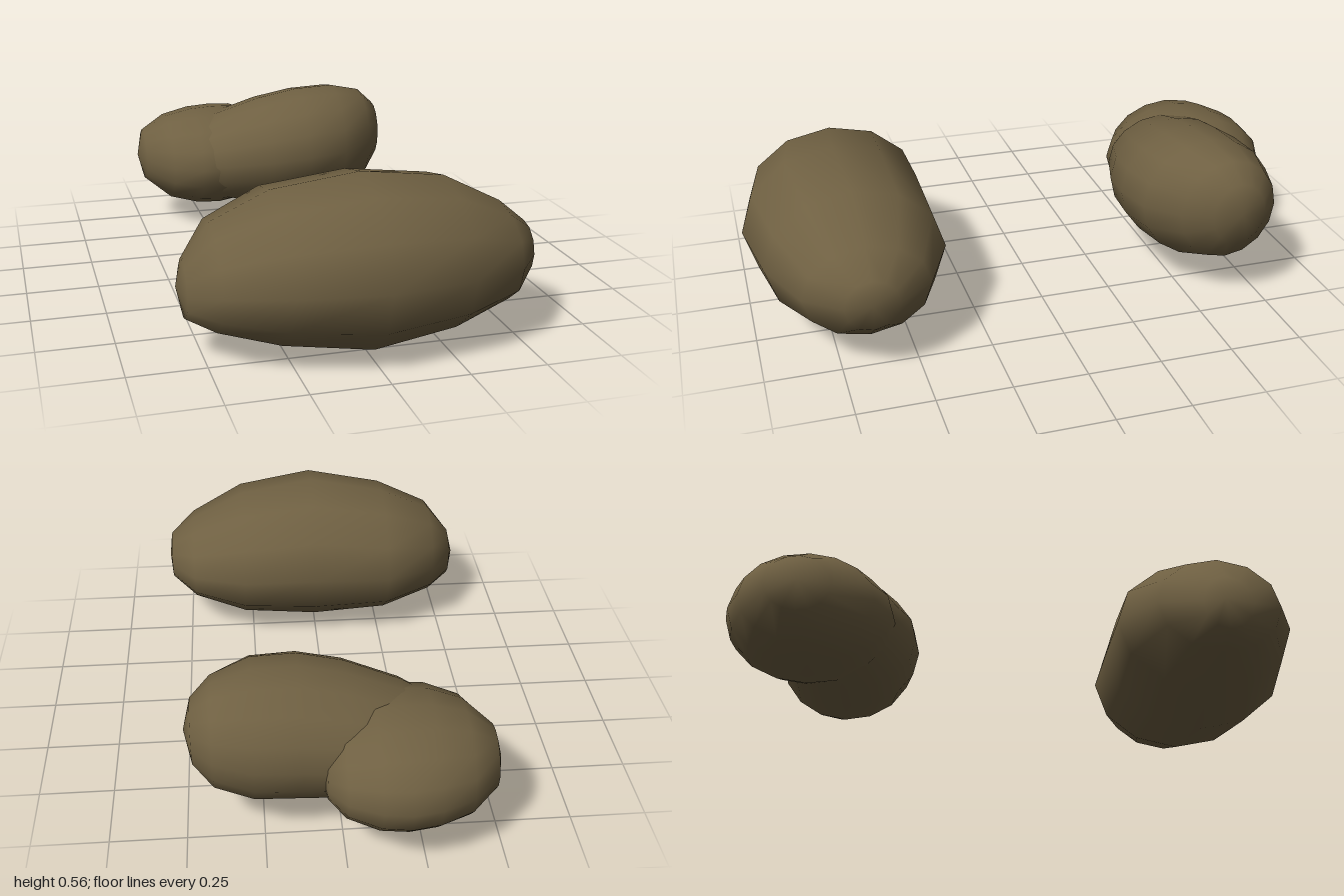
import * as THREE from 'three';

const material = new THREE.MeshStandardMaterial({ color: 0x6f6042, roughness: 1 });

// Lumpy closed body lofted along x.
// Each station is [x, bottom y, top y, back z, front z]; the first and last are points.
function lump(name, stations, sides) {
  const positions = [], index = [];
  const rings = stations.slice(1, -1);
  for (const [x, y0, y1, z0, z1] of rings) {
    for (let j = 0; j < sides; j++) {
      const a = (j / sides) * Math.PI * 2;
      positions.push(
        x,
        (y0 + y1) / 2 + (Math.sin(a) * (y1 - y0)) / 2,
        (z0 + z1) / 2 + (Math.cos(a) * (z1 - z0)) / 2
      );
    }
  }
  const startTip = rings.length * sides, endTip = startTip + 1;
  for (const [x, y0, y1, z0, z1] of [stations[0], stations[stations.length - 1]]) {
    positions.push(x, (y0 + y1) / 2, (z0 + z1) / 2);
  }
  const lastRing = (rings.length - 1) * sides;
  for (let j = 0; j < sides; j++) {
    const k = (j + 1) % sides;
    for (let i = 0; i < rings.length - 1; i++) {
      const a = i * sides + j, b = i * sides + k;
      const c = a + sides, d = b + sides;
      index.push(a, c, d, a, d, b);
    }
    index.push(startTip, j, k, endTip, lastRing + k, lastRing + j);
  }
  const geometry = new THREE.BufferGeometry();
  geometry.setAttribute('position', new THREE.Float32BufferAttribute(positions, 3));
  geometry.setIndex(index);
  geometry.computeVertexNormals();
  const mesh = new THREE.Mesh(geometry, material);
  mesh.name = name;
  return mesh;
}

export function createModel() {
  const model = new THREE.Group();
  model.name = 'twoPotatoes';

  // Large oval potato at the front
  model.add(lump('frontPotato', [
    [-0.575, 0.22, 0.24, 0.62, 0.66],
    [-0.555, 0.13, 0.32, 0.57, 0.74],
    [-0.47, 0.09, 0.43, 0.44, 0.86],
    [-0.28, 0.035, 0.515, 0.34, 0.95],
    [0, 0, 0.56, 0.345, 1.0],
    [0.28, 0.035, 0.52, 0.35, 0.955],
    [0.475, 0.1, 0.42, 0.44, 0.86],
    [0.565, 0.17, 0.345, 0.56, 0.74],
    [0.575, 0.24, 0.28, 0.62, 0.68]
  ], 12));

  // Double potato at the back: long raised lobe and round lower lobe
  const knobbly = new THREE.Group();
  knobbly.name = 'backPotato';
  knobbly.add(lump('longLobe', [
    [-0.38, 0.26, 0.28, -0.6, -0.58],
    [-0.34, 0.17, 0.37, -0.72, -0.49],
    [-0.2, 0.11, 0.45, -0.82, -0.41],
    [-0.02, 0.09, 0.51, -0.84, -0.35],
    [0.13, 0.09, 0.54, -0.84, -0.335],
    [0.28, 0.1, 0.545, -0.84, -0.36],
    [0.405, 0.15, 0.515, -0.8, -0.45],
    [0.47, 0.23, 0.455, -0.73, -0.54],
    [0.495, 0.33, 0.37, -0.65, -0.62]
  ], 16));
  knobbly.add(lump('roundLobe', [
    [-0.5, 0.26, 0.28, -0.75, -0.73],
    [-0.475, 0.17, 0.37, -0.85, -0.63],
    [-0.385, 0.1, 0.43, -0.94, -0.49],
    [-0.28, 0.075, 0.455, -0.985, -0.43],
    [-0.19, 0.07, 0.46, -1.0, -0.42],
    [-0.1, 0.08, 0.455, -0.99, -0.45],
    [0.0, 0.12, 0.41, -0.94, -0.52],
    [0.055, 0.18, 0.35, -0.87, -0.62],
    [0.075, 0.25, 0.28, -0.76, -0.72]
  ], 16));
  model.add(knobbly);

  return model;
}
